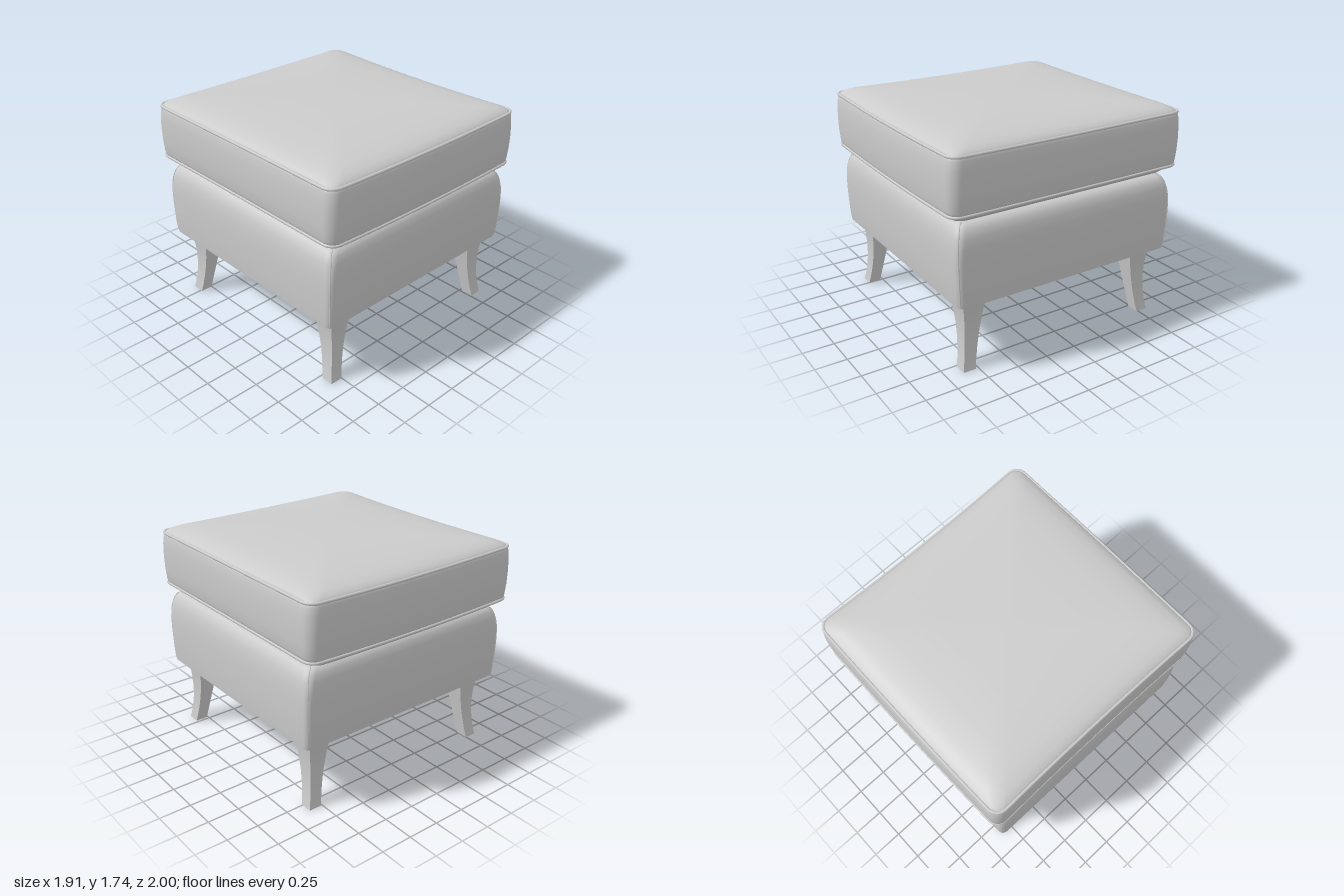
import * as THREE from 'three';
import { toCreasedNormals } from 'three/addons/utils/BufferGeometryUtils.js';

const material = new THREE.MeshStandardMaterial({ color: 0xcccccc });
const SIDE = 10, CORNER = 6;

// Rounded rectangle of points at height y, running from +x towards +z
function ring(y, hx, hz, r, warp) {
  const points = [];
  const corners = [[1, 1], [-1, 1], [-1, -1], [1, -1]];
  corners.forEach(([sx, sz], k) => {
    const cx = sx * (hx - r), cz = sz * (hz - r);
    for (let i = 0; i <= CORNER; i++) {
      const a = (k + i / CORNER) * Math.PI / 2;
      points.push(new THREE.Vector3(cx + r * Math.cos(a), y, cz + r * Math.sin(a)));
    }
    // straight run to the start of the next corner
    const [nx, nz] = corners[(k + 1) % 4];
    const a = (k + 1) * Math.PI / 2;
    const end = new THREE.Vector3(nx * (hx - r) + r * Math.cos(a), y, nz * (hz - r) + r * Math.sin(a));
    const start = points[points.length - 1];
    for (let i = 1; i < SIDE; i++) points.push(start.clone().lerp(end, i / SIDE));
  });
  points.forEach(warp);
  return points;
}

// Skin through a list of rings [y, halfX, halfZ, cornerRadius]
function loft(rows, warp, crease) {
  const rings = rows.map(([y, hx, hz, r]) => ring(y, hx, hz, r, warp));
  const n = rings[0].length, index = [];
  for (let j = 0; j < rings.length - 1; j++) {
    for (let i = 0; i < n; i++) {
      const a = j * n + i, b = j * n + (i + 1) % n;
      index.push(a, a + n, b, b, a + n, b + n);
    }
  }
  const geometry = new THREE.BufferGeometry().setFromPoints(rings.flat());
  geometry.setIndex(index);
  geometry.computeVertexNormals();
  return toCreasedNormals(geometry, crease);
}

// Cushion: sides pinch in, front and back swell, corners lift
function cushionWarp(p) {
  const u = p.x / 0.95, w = p.z / 0.99;
  p.x *= 1 - 0.018 * (1 - w * w);
  p.z *= 1 + 0.01 * (1 - u * u);
  p.y += 0.012 * u * u * w * w;
}

// Base: sits slightly forward
function baseWarp(p) {
  p.x += 0.004;
  p.z += 0.01;
}

// Square tapering leg, curved on its two outer faces
function legGeometry(sx, sz) {
  const geometry = new THREE.BoxGeometry(1, 1, 1, 1, 12, 1);
  const pos = geometry.attributes.position;
  for (let i = 0; i < pos.count; i++) {
    const y = (pos.getY(i) + 0.5) * 0.6;
    const inner = 0.755 - 0.18 * y;
    const outer = 0.823 + 0.35 * (y - 0.3) ** 2;
    const place = (v, s) => s * THREE.MathUtils.lerp(inner, outer, s * v + 0.5);
    pos.setXYZ(i, place(pos.getX(i), sx) + 0.005, y, place(pos.getZ(i), sz) + 0.018);
  }
  return toCreasedNormals(geometry, 0.5);
}

export function createModel() {
  const model = new THREE.Group();
  const add = (name, geometry, parent = model) => {
    const mesh = new THREE.Mesh(geometry, material);
    mesh.name = name;
    parent.add(mesh);
    return mesh;
  };

  // Hollow upholstered base: ceiling, inner wall, rim, outer wall, top
  const outerWall = [
    [0.56, 0.928, 0.922, 0.05], [0.6, 0.932, 0.928, 0.05], [0.75, 0.937, 0.936, 0.05],
    [0.9, 0.938, 0.94, 0.05], [1.0, 0.934, 0.938, 0.055], [1.07, 0.923, 0.928, 0.06],
    [1.12, 0.905, 0.913, 0.06], [1.15, 0.88, 0.893, 0.06], [1.162, 0.85, 0.865, 0.06],
  ];
  add('base', loft([
    [1.06, 0, 0, 0], [1.06, 0.83, 0.83, 0.03], [1.04, 0.865, 0.865, 0.04],
    [0.56, 0.885, 0.88, 0.04], ...outerWall, [1.162, 0, 0, 0],
  ], baseWarp, 0.9));

  // Fine seam down each corner of the base
  for (const sx of [1, -1]) for (const sz of [1, -1]) {
    const path = outerWall.map(([y, hx, hz, r]) => {
      const d = r * (1 - Math.SQRT1_2);
      return new THREE.Vector3(sx * (hx - d) + 0.004, y, sz * (hz - d) + 0.01);
    });
    add('cornerSeam', new THREE.TubeGeometry(new THREE.CatmullRomCurve3(path), 24, 0.005, 6));
  }

  // Loose seat cushion with a domed top
  const lowerEdge = [1.23, 0.942, 0.975, 0.08];
  const upperEdge = [1.643, 0.942, 0.972, 0.08];
  const cushion = new THREE.Group();
  cushion.name = 'cushion';
  model.add(cushion);
  add('cushionBody', loft([
    [1.155, 0, 0, 0], [1.155, 0.8, 0.84, 0.07], [1.168, 0.865, 0.905, 0.08], [1.2, 0.902, 0.94, 0.08],
    lowerEdge, [1.26, 0.95, 0.98, 0.085], [1.35, 0.957, 0.988, 0.09], [1.45, 0.959, 0.99, 0.09],
    [1.55, 0.957, 0.988, 0.09], [1.615, 0.95, 0.98, 0.085], upperEdge,
    [1.664, 0.922, 0.952, 0.085], [1.686, 0.875, 0.908, 0.09], [1.706, 0.79, 0.825, 0.09],
    [1.721, 0.64, 0.67, 0.08], [1.731, 0.38, 0.4, 0.05], [1.735, 0, 0, 0],
  ], cushionWarp, 0.9), cushion);

  // Piping along both cushion edges
  for (const edge of [lowerEdge, upperEdge]) {
    const curve = new THREE.CatmullRomCurve3(ring(...edge, cushionWarp), true);
    add('piping', new THREE.TubeGeometry(curve, 240, 0.012, 8, true), cushion);
  }

  // Four legs
  for (const [name, sx, sz] of [
    ['frontLeftLeg', 1, 1], ['frontRightLeg', -1, 1], ['backLeftLeg', 1, -1], ['backRightLeg', -1, -1],
  ]) add(name, legGeometry(sx, sz));

  return model;
}
